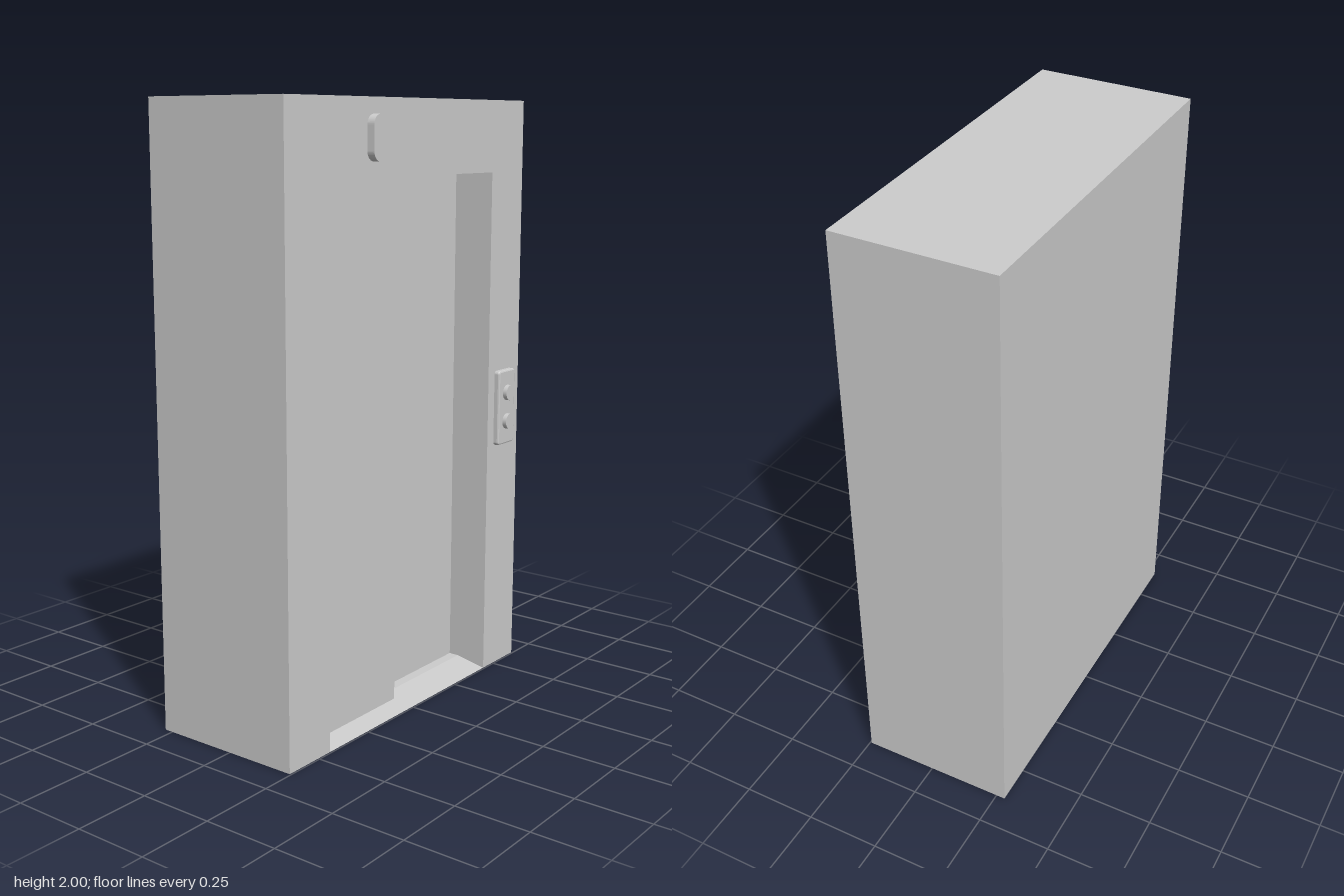
import * as THREE from 'three';

const material = new THREE.MeshStandardMaterial({ color: 0xcccccc, flatShading: true });
const smooth = new THREE.MeshStandardMaterial({ color: 0xcccccc });

const W = 0.635, BACK = -0.28, FRONT = 0.245; // cabinet half width and depth
const OPEN = 0.442, OPEN_TOP = 1.762;         // doorway half width and height
const WALL = 0.008;                           // rear wall thickness

function add(parent, name, geometry, x = 0, y = 0, z = 0, mat = material) {
  const mesh = new THREE.Mesh(geometry, mat);
  mesh.name = name;
  mesh.position.set(x, y, z);
  parent.add(mesh);
  return mesh;
}

function polygon(points) {
  return new THREE.Shape(points.map(([x, y]) => new THREE.Vector2(x, y)));
}

function extrude(shape, depth, options = {}) {
  return new THREE.ExtrudeGeometry(shape, { depth, bevelEnabled: false, ...options });
}

// Rounded rectangle centred on the origin
function roundedRect(w, h, r) {
  const s = new THREE.Shape();
  const x = w / 2 - r, y = h / 2 - r;
  s.absarc(x, y, r, 0, Math.PI / 2);
  s.absarc(-x, y, r, Math.PI / 2, Math.PI);
  s.absarc(-x, -y, r, Math.PI, Math.PI * 1.5);
  s.absarc(x, -y, r, Math.PI * 1.5, Math.PI * 2);
  s.closePath();
  return s;
}

export function createModel() {
  const group = new THREE.Group();
  group.name = 'elevator';

  // Cabinet: doorway-shaped frame running back to a thin rear wall
  const frame = polygon([
    [-W, 0], [-OPEN, 0], [-OPEN, OPEN_TOP], [OPEN, OPEN_TOP],
    [OPEN, 0], [W, 0], [W, 2], [-W, 2],
  ]);
  add(group, 'cabinetFrame', extrude(frame, FRONT - BACK - WALL), 0, 0, BACK + WALL);
  add(group, 'rearWall', new THREE.BoxGeometry(2 * W, 2, WALL), 0, 1, BACK + WALL / 2);

  // Floor: sill ramps up from the front edge, then runs level to the rear wall
  const depth = FRONT - BACK - WALL;
  const floorProfile = polygon([[0, 0], [depth, 0], [depth, 0.022], [0.11, 0.022]]);
  const floor = add(group, 'floor', extrude(floorProfile, 2 * OPEN), -OPEN, 0, FRONT);
  floor.rotation.y = Math.PI / 2;

  // Two sliding doors on staggered tracks, with a narrow gap between them
  const doorThickness = 0.065;
  const doors = [
    ['rightDoor', -OPEN, -0.006, 0.07],
    ['leftDoor', 0.01, OPEN, 0.145],
  ];
  for (const [name, x0, x1, inset] of doors) {
    add(group, name, new THREE.BoxGeometry(x1 - x0, OPEN_TOP - 0.012, doorThickness),
      (x0 + x1) / 2, (OPEN_TOP + 0.012) / 2, FRONT - inset - doorThickness / 2);
  }

  // Floor indicator plate above the doorway
  add(group, 'indicatorPlate', extrude(roundedRect(0.504, 0.14, 0.032), 0.026, { curveSegments: 6 }),
    -0.002, 1.88, FRONT);

  // Call panel with bevelled rim and two round buttons
  const panel = new THREE.Group();
  panel.name = 'callPanel';
  panel.position.set(0.533, 0.947, FRONT);
  group.add(panel);
  const plate = extrude(roundedRect(0.092, 0.252, 0.006), 0.014, {
    bevelEnabled: true, bevelThickness: 0.006, bevelSize: 0.006, bevelSegments: 2, curveSegments: 3,
  });
  add(panel, 'panelPlate', plate);
  for (const y of [0.052, -0.05]) {
    const button = add(panel, 'callButton', new THREE.CylinderGeometry(0.027, 0.027, 0.025, 24),
      0, y, 0.0225, smooth);
    button.rotation.x = Math.PI / 2;
  }

  return group;
}
